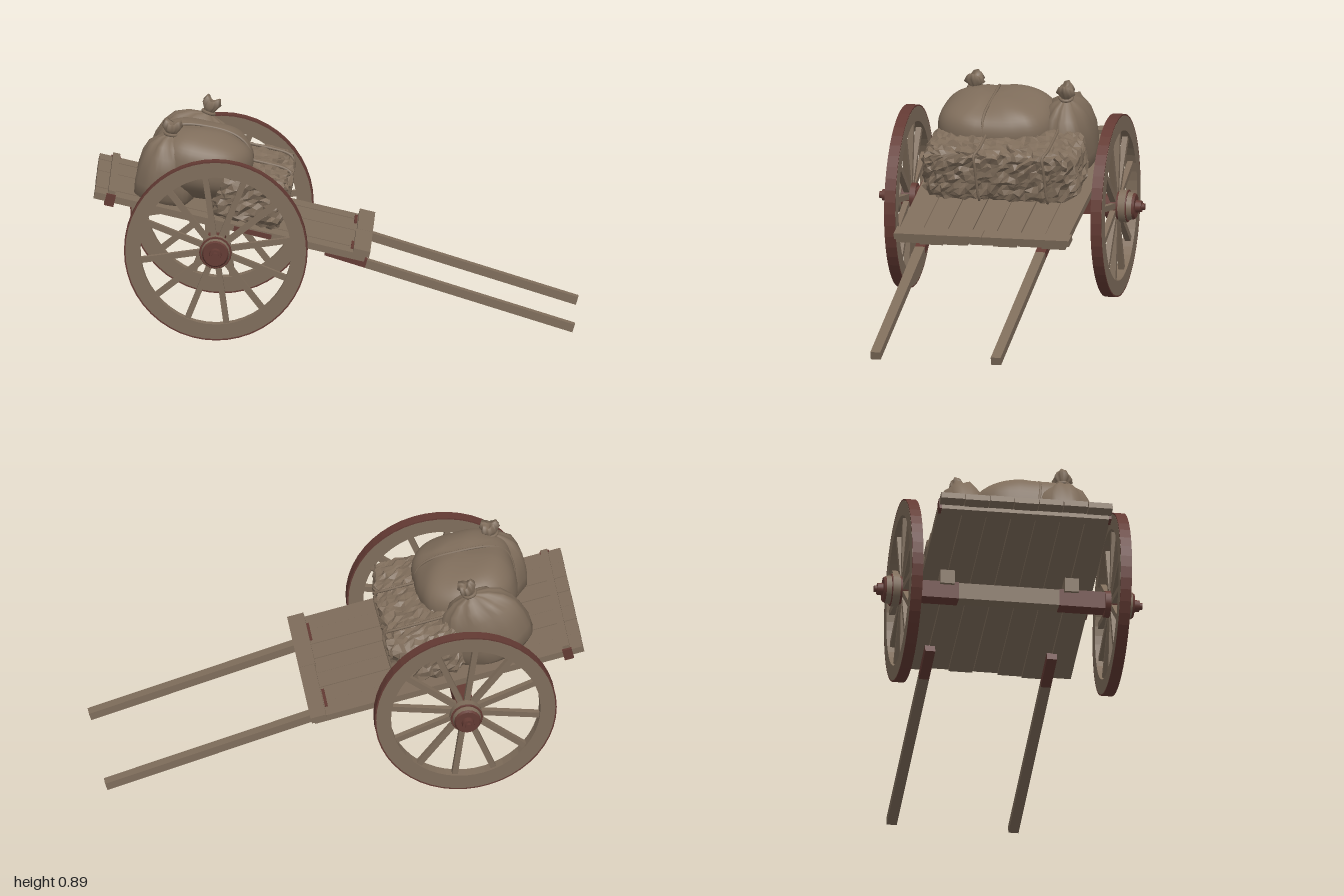
import * as THREE from 'three';
import { mergeVertices } from 'three/addons/utils/BufferGeometryUtils.js';

const wood = new THREE.MeshStandardMaterial({ color: 0x7f6d5b });
wood.name = 'weathered tan';
const red = new THREE.MeshStandardMaterial({ color: 0x633a33 });
red.name = 'faded red';

// Repeatable noise from a position, -1..1
const hash = (x, y, z) => {
  const s = Math.sin(Math.round(x * 500) * 12.99 + Math.round(y * 500) * 78.23 + Math.round(z * 500) * 37.72) * 43758.55;
  return (s - Math.floor(s)) * 2 - 1;
};

function add(parent, name, geo, mat, x = 0, y = 0, z = 0) {
  const m = new THREE.Mesh(geo, mat);
  m.name = name;
  m.position.set(x, y, z);
  parent.add(m);
  return m;
}
const box = (p, name, mat, w, h, d, x, y, z) => add(p, name, new THREE.BoxGeometry(w, h, d), mat, x, y, z);

// Move every vertex by a rule, then weld and smooth
function reshape(geo, rule) {
  geo.deleteAttribute('uv');
  geo.deleteAttribute('normal');
  const g = mergeVertices(geo, 1e-5);
  const p = g.attributes.position, v = new THREE.Vector3();
  for (let i = 0; i < p.count; i++) {
    rule(v.fromBufferAttribute(p, i));
    p.setXYZ(i, v.x, v.y, v.z);
  }
  g.computeVertexNormals();
  return g;
}
const power = (v, e) => Math.sign(v) * Math.abs(v) ** e;

// Closed rope round a rounded section in the x-y plane
function rope(parent, rx, ry, e, x, y, z) {
  const pts = [];
  for (let i = 0; i < 32; i++) {
    const a = i / 32 * Math.PI * 2;
    pts.push(new THREE.Vector3(rx * power(Math.cos(a), e), ry * power(Math.sin(a), e), 0.008 * Math.sin(3 * a)));
  }
  const curve = new THREE.CatmullRomCurve3(pts, true);
  return add(parent, 'rope', new THREE.TubeGeometry(curve, 64, 0.006, 6, true), wood, x, y, z);
}

// Solid ring about the z axis
function ring(inner, outer, depth) {
  const d = depth / 2;
  const pts = [[inner, -d], [outer, -d], [outer, d], [inner, d], [inner, -d]].map(q => new THREE.Vector2(...q));
  const flat = new THREE.LatheGeometry(pts, 48).toNonIndexed();
  flat.computeVertexNormals();
  return flat.rotateX(Math.PI / 2);
}

function makeWheel(side) {
  const w = new THREE.Group();
  w.name = 'wheel';
  w.position.set(-0.482, 0.38, 0.437 * side);
  if (side < 0) w.rotation.y = Math.PI;
  add(w, 'rim', ring(0.312, 0.374, 0.047), wood);
  add(w, 'tyre', ring(0.373, 0.38, 0.046), red);
  for (let i = 0; i < 12; i++) {
    const a = i / 12 * Math.PI * 2 + 0.14 * side;
    const s = box(w, 'spoke', wood, 0.024, 0.28, 0.024, -Math.sin(a) * 0.18, Math.cos(a) * 0.18, 0);
    s.rotation.z = a;
  }
  const drum = (name, mat, r1, r2, z0, z1) => {
    const g = new THREE.CylinderGeometry(r2, r1, z1 - z0, 16).rotateX(Math.PI / 2);
    add(w, name, g, mat, 0, 0, (z0 + z1) / 2);
  };
  drum('hub', red, 0.055, 0.06, -0.035, 0.03);
  drum('hubBand', wood, 0.068, 0.07, 0.022, 0.053);
  drum('hubBandFace', red, 0.068, 0.066, 0.053, 0.057);
  drum('hubNose', wood, 0.06, 0.056, 0.057, 0.078);
  drum('hubFace', red, 0.056, 0.05, 0.078, 0.088);
  drum('axleCap', red, 0.026, 0.024, 0.088, 0.112);
  drum('axlePin', red, 0.014, 0.014, 0.112, 0.125);
  return w;
}

// Tied upright sack from a base point to the tip of its knot
function makeSack(parent, base, tip, rx, rz) {
  const a = new THREE.Vector3(...base), axis = new THREE.Vector3(...tip).sub(a), h = axis.length();
  const prof = [[0, 0], [0.8, 0], [0.98, 0.08], [1.03, 0.22], [0.99, 0.42], [0.88, 0.58], [0.66, 0.71], [0.4, 0.79],
    [0.2, 0.825], [0.18, 0.86], [0.33, 0.93], [0.24, 1], [0.1, 0.97], [0, 0.96]].map(q => new THREE.Vector2(...q));
  const geo = reshape(new THREE.LatheGeometry(prof, 36), v => {
    const t = v.y, ang = Math.atan2(v.z, v.x);
    const pleat = 1 + (t > 0.6 ? 0.1 : 0.02) * Math.cos(9 * ang) + 0.04 * Math.sin(3 * ang + t * 5);
    const sx = t > 0.81 ? rz : rx;
    const ragged = t > 0.9 ? 0.03 * Math.sin(2 * ang + 1) : 0;
    v.set(v.x * sx * pleat, (t + ragged) * h, v.z * rz * pleat);
  });
  const g = new THREE.Group();
  g.name = 'sack';
  g.position.copy(a);
  g.quaternion.setFromUnitVectors(new THREE.Vector3(0, 1, 0), axis.normalize());
  add(g, 'sackCloth', geo, wood);
  add(g, 'sackTie', new THREE.TorusGeometry(rz * 0.22, 0.007, 6, 16).rotateX(Math.PI / 2), wood, 0, h * 0.84, 0);
  parent.add(g);
}

export function createModel() {
  const cart = new THREE.Group();
  cart.name = 'handCart';

  // Sloping bed of planks
  const bed = new THREE.Group();
  bed.name = 'bed';
  bed.position.set(-0.42, 0.458, 0);
  bed.rotation.z = -0.23;
  cart.add(bed);
  for (let i = 0; i < 7; i++) {
    const n = hash(i, 3, 7), z = (i - 3) * 0.103;
    box(bed, 'plank', wood, 1.15 + n * 0.015, 0.028, 0.1, -0.008 + n * 0.008, n * 0.002, z);
  }
  box(bed, 'rearBatten', wood, 0.03, 0.022, 0.7, -0.515, 0.022, 0);
  box(bed, 'rearUnderBatten', wood, 0.04, 0.022, 0.7, -0.515, -0.022, 0);
  box(bed, 'frontBattenLeft', wood, 0.07, 0.026, 0.37, 0.548, 0.02, 0.178);
  box(bed, 'frontBattenRight', wood, 0.066, 0.026, 0.37, 0.55, 0.02, -0.194);
  for (const s of [-1, 1]) {
    box(bed, 'rearBattenEnd', red, 0.04, 0.05, 0.012, -0.515, -0.006, 0.355 * s);
    box(bed, 'frontBattenWear', red, 0.012, 0.012, 0.12, 0.508, 0.015, 0.24 * s);
  }
  box(bed, 'sideWear', red, 0.16, 0.02, 0.006, 0.09, -0.002, 0.361);

  // Pull shafts with red roots under the bed
  for (const z of [-0.255, 0.255]) {
    const shaft = new THREE.Group();
    shaft.name = 'shaft';
    shaft.position.set(0.994, 0.018, z);
    shaft.rotation.z = -0.303;
    cart.add(shaft);
    box(shaft, 'shaftPole', wood, 0.9, 0.034, 0.042, -0.45, 0, 0);
    box(shaft, 'shaftRoot', red, 0.175, 0.034, 0.042, -0.9875, 0, 0);
  }

  // Axle beam, its bearers and the wheels
  box(cart, 'axleBeam', wood, 0.065, 0.07, 0.44, -0.482, 0.382, 0);
  for (const s of [-1, 1]) {
    box(cart, 'axleArm', red, 0.07, 0.074, 0.2, -0.482, 0.382, 0.31 * s);
    box(cart, 'axleBearer', wood, 0.1, 0.06, 0.06, -0.482, 0.435, 0.26 * s);
    cart.add(makeWheel(s));
  }

  // Ragged straw bale, faceted
  const bx = 0.15, by = 0.108, bz = 0.325;
  const bale = reshape(new THREE.BoxGeometry(2, 2, 2, 13, 11, 28), v => {
    const q = v.clone(), L = Math.pow(q.x ** 8 + q.y ** 8 + q.z ** 8, 1 / 8);
    const n = 1 + 0.06 * hash(q.x, q.y, q.z);
    v.set(q.x / L * bx * n + 0.005 * hash(q.z, q.x, q.y),
      q.y / L * by * n + 0.007 * hash(q.y, q.z, q.x),
      q.z / L * bz * (1 + 0.02 * hash(q.x, q.z, q.y)) + 0.008 * hash(q.z, q.y, q.x));
  }).toNonIndexed();
  bale.computeVertexNormals();
  add(bed, 'strawBale', bale, wood, 0.05, 0.12, 0);
  for (const z of [-0.2, 0.09]) rope(bed, bx * 1.05, by * 1.06, 0.3, 0.05, 0.12, z);

  // Large sack lying on the bale, tied round the middle
  const lying = new THREE.Group();
  lying.name = 'lyingSack';
  lying.position.set(-0.55, 0.682, 0.07);
  lying.rotation.z = -0.18;
  cart.add(lying);
  const cloth = reshape(new THREE.SphereGeometry(1, 40, 28), v => {
    const c = 1 - 0.05 * Math.exp(-((v.z - 0.06) ** 2) / 0.006) + 0.02 * Math.sin(7 * v.x + 5 * v.z);
    v.set(power(v.x, 0.75) * 0.215 * c, power(v.y, 0.75) * 0.146 * c, power(v.z, 0.75) * 0.25);
  });
  add(lying, 'lyingSackCloth', cloth, wood);
  rope(lying, 0.207, 0.142, 0.75, 0, 0, 0.02);

  // Two upright sacks with gathered tops
  makeSack(cart, [-0.71, 0.535, 0.19], [-0.665, 0.87, 0.2], 0.125, 0.125);
  makeSack(cart, [-0.64, 0.52, -0.205], [-0.51, 0.87, -0.22], 0.185, 0.115);

  return cart;
}
